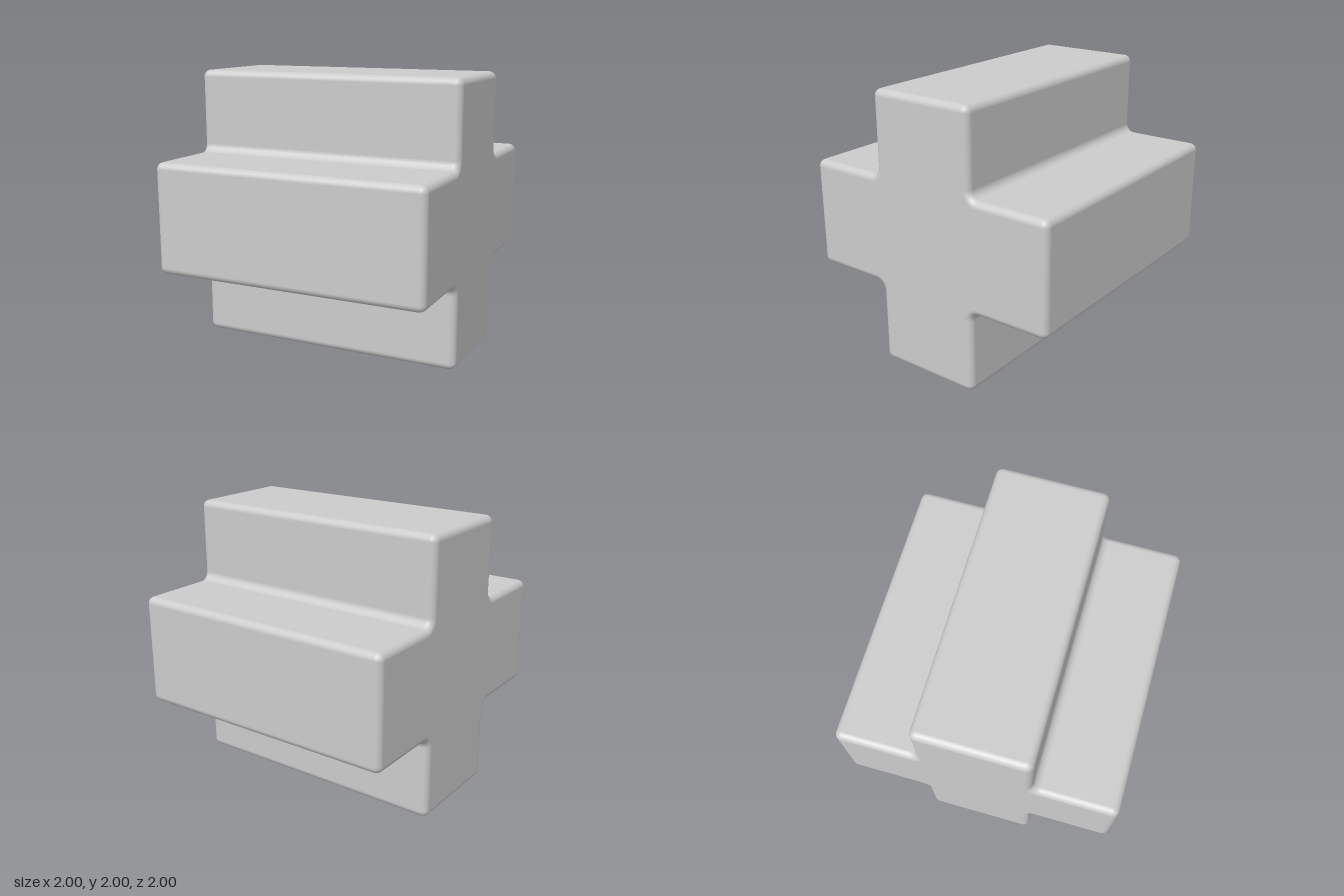
import * as THREE from 'three';

const HALF = 1;      // half of the overall size
const ARM = 0.4;     // half the width of each arm
const ROUND = 0.05;  // radius of outer edges
const FILLET = 0.06; // radius of inner edges
const STEPS = 6;     // segments per rounded edge

// Outline of the plus: arc centre, signed radius (negative for fillets) and outward normal
function plusOutline() {
  const corners = [
    { y: HALF - ROUND, z: ARM - ROUND, radius: ROUND, from: 0, to: 1 },
    { y: ARM + FILLET, z: ARM + FILLET, radius: -FILLET, from: 1, to: 0 },
    { y: ARM - ROUND, z: HALF - ROUND, radius: ROUND, from: 0, to: 1 },
  ];
  const outline = [];
  for (let quarter = 0; quarter < 4; quarter++) {
    const turn = quarter * Math.PI / 2;
    const c = Math.cos(turn), s = Math.sin(turn);
    for (const k of corners) {
      for (let i = 0; i <= STEPS; i++) {
        const a = turn + (k.from + (k.to - k.from) * i / STEPS) * Math.PI / 2;
        outline.push({
          y: k.y * c - k.z * s, z: k.y * s + k.z * c,
          radius: k.radius, ny: Math.cos(a), nz: Math.sin(a),
        });
      }
    }
  }
  return outline;
}

// Plus-shaped bar along x whose ends are rounded by insetting the outline
function plusBarGeometry() {
  const outline = plusOutline(), count = outline.length;
  const positions = [], normals = [], indices = [];

  const addRing = (side, t) => {
    const x = side * (HALF - ROUND + ROUND * Math.sin(t));
    const inset = ROUND * (1 - Math.cos(t));
    for (const p of outline) {
      const r = p.radius - inset;
      positions.push(x, HALF + p.y + r * p.ny, p.z + r * p.nz);
      normals.push(side * Math.sin(t), p.ny * Math.cos(t), p.nz * Math.cos(t));
    }
  };
  // End caps close on a ring gathered at the centre
  const addCentre = (side) => {
    for (let j = 0; j < count; j++) {
      positions.push(side * HALF, HALF, 0);
      normals.push(side, 0, 0);
    }
  };

  addCentre(-1);
  for (let i = STEPS; i >= 0; i--) addRing(-1, i / STEPS * Math.PI / 2);
  for (let i = 0; i <= STEPS; i++) addRing(1, i / STEPS * Math.PI / 2);
  addCentre(1);

  const rings = positions.length / 3 / count;
  for (let i = 0; i < rings - 1; i++) {
    for (let j = 0; j < count; j++) {
      const a = i * count + j, b = i * count + (j + 1) % count;
      if (i > 0) indices.push(a, b, a + count);
      if (i < rings - 2) indices.push(b, b + count, a + count);
      // the caps need the one triangle that touches the centre
      if (i === 0) continue;
    }
  }

  const geometry = new THREE.BufferGeometry();
  geometry.setAttribute('position', new THREE.Float32BufferAttribute(positions, 3));
  geometry.setAttribute('normal', new THREE.Float32BufferAttribute(normals, 3));
  geometry.setIndex(indices);
  return geometry;
}

export function createModel() {
  const group = new THREE.Group();
  group.name = 'plusBlock';
  const bar = new THREE.Mesh(plusBarGeometry(), new THREE.MeshStandardMaterial({ color: 0xcccccc }));
  bar.name = 'plusBar';
  group.add(bar);
  return group;
}
